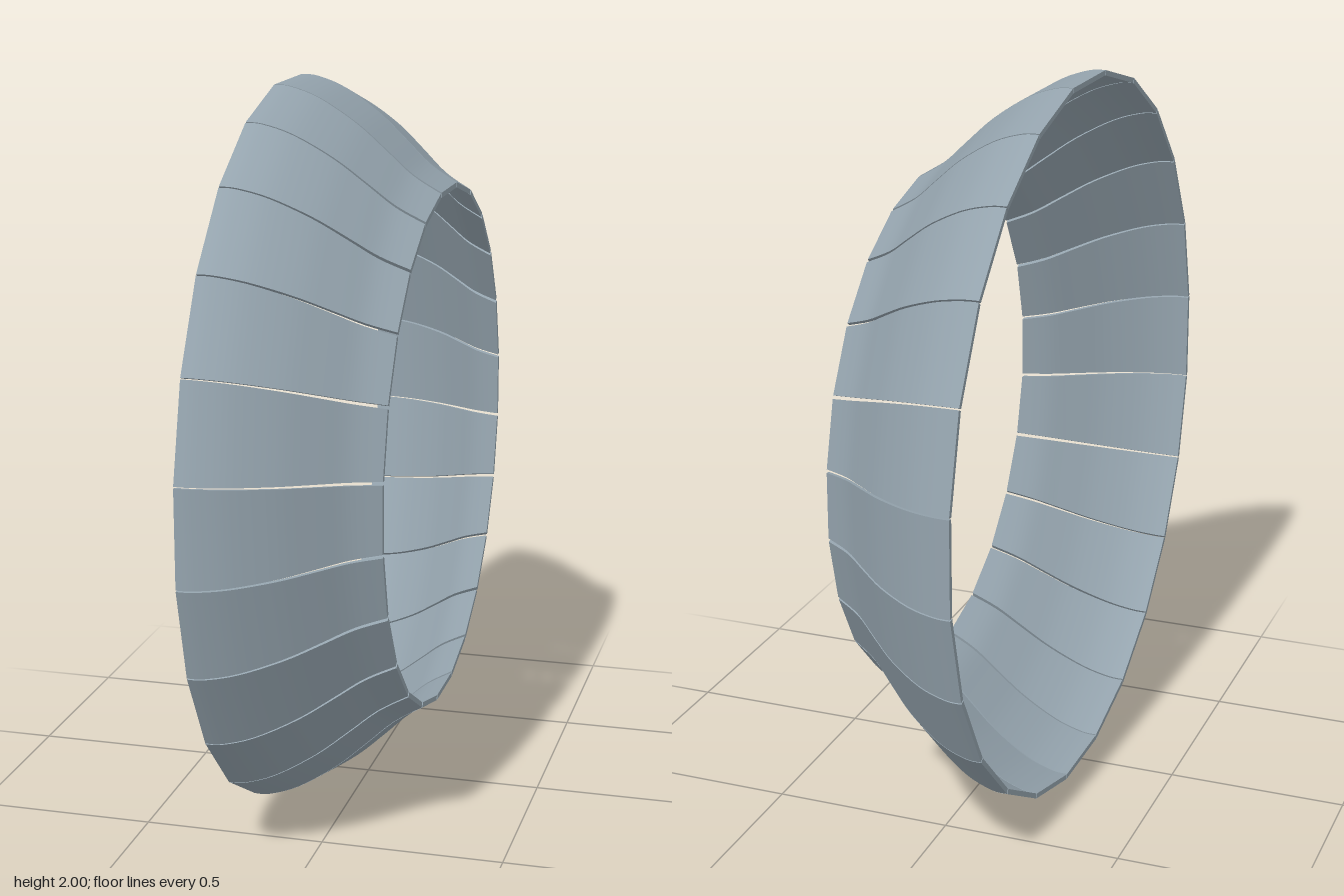
import * as THREE from 'three';
import { toCreasedNormals } from 'three/addons/utils/BufferGeometryUtils.js';

const COUNT = 24;
const THICKNESS = 0.014;

// One thin curved petal: an S-shaped profile (x = axis, y = radius) whose width follows the radius
function petalGeometry() {
  const outer = new THREE.SplineCurve([
    [-0.225, 1], [-0.18, 0.997], [-0.1, 0.968], [0, 0.903],
    [0.08, 0.832], [0.15, 0.768], [0.225, 0.722],
  ].map(([x, r]) => new THREE.Vector2(x, r))).getPoints(24);
  const inner = outer.map((p) => new THREE.Vector2(p.x, p.y - THICKNESS)).reverse();
  const geometry = new THREE.ExtrudeGeometry(new THREE.Shape([...outer, ...inner]), {
    depth: 1, bevelEnabled: false, steps: 1,
  });

  // Taper towards the narrow end, leaving a slim gap that opens slightly there
  const pos = geometry.attributes.position;
  for (let i = 0; i < pos.count; i++) {
    const r = pos.getY(i);
    const gap = 0.002 + 0.01 * (1 - r);
    const halfWidth = r * Math.tan(Math.PI / COUNT) - gap;
    pos.setZ(i, (pos.getZ(i) * 2 - 1) * halfWidth);
  }
  return toCreasedNormals(geometry, Math.PI / 6);
}

export function createModel() {
  const model = new THREE.Group();
  model.name = 'petalRing';
  const steel = new THREE.MeshStandardMaterial({ color: 0x94a3ad });
  steel.name = 'blue grey steel';

  // Ring of flat-sided petals around the x axis
  const geometry = petalGeometry();
  for (let i = 0; i < COUNT; i++) {
    const petal = new THREE.Mesh(geometry, steel);
    petal.name = `petal${i + 1}`;
    petal.position.y = 1;
    petal.rotation.x = (i / COUNT) * Math.PI * 2;
    model.add(petal);
  }
  return model;
}
